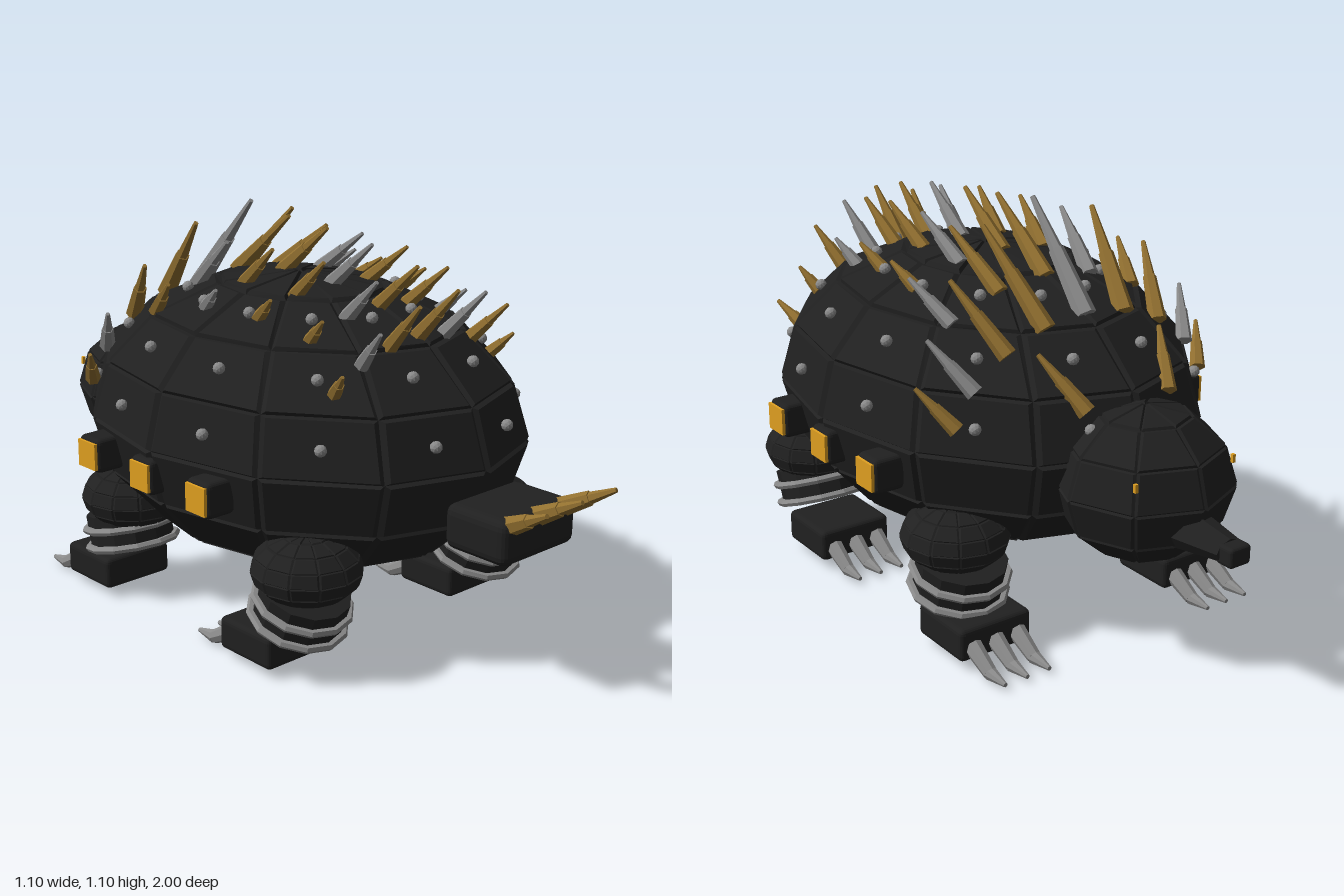
import * as THREE from 'three';
import { RoundedBoxGeometry } from 'three/addons/geometries/RoundedBoxGeometry.js';

const V = (x, y, z) => new THREE.Vector3(x, y, z);

function makeMaterial(name, color) {
  const m = new THREE.MeshStandardMaterial({ color, flatShading: true });
  m.name = name;
  return m;
}

// Ellipsoid of raised armour panels, with a V groove along every seam
function panelledEllipsoid(rx, ry, rz, around, rows, inset, depth) {
  const corner = (i, j) => {
    const a = (i / around) * Math.PI * 2, b = (j / rows) * Math.PI;
    return V(rx * Math.sin(b) * Math.cos(a), ry * Math.cos(b), rz * Math.sin(b) * Math.sin(a));
  };
  const points = [];
  for (let j = 0; j < rows; j++) {
    for (let i = 0; i < around; i++) {
      const face = [corner(i, j)];
      if (j > 0) face.push(corner(i + 1, j));
      face.push(corner(i + 1, j + 1));
      if (j < rows - 1) face.push(corner(i, j + 1));
      const mid = face.reduce((s, p) => s.add(p), V(0, 0, 0)).divideScalar(face.length);
      const outer = face.map((p) => p.clone().add(mid.clone().sub(p).setLength(inset)));
      const inner = face.map((p) => p.clone().setLength(p.length() - depth));
      for (let k = 1; k < face.length - 1; k++) points.push(outer[0], outer[k], outer[k + 1]);
      for (let k = 0; k < face.length; k++) {
        const n = (k + 1) % face.length;
        points.push(inner[k], inner[n], outer[n], inner[k], outer[n], outer[k]);
      }
    }
  }
  const geometry = new THREE.BufferGeometry().setFromPoints(points);
  geometry.computeVertexNormals();
  return geometry;
}

export function createModel() {
  const model = new THREE.Group();
  model.name = 'armouredSpinyAnimal';
  const black = makeMaterial('blackArmour', 0x202020);
  const steel = makeMaterial('steel', 0x8a8a8a);
  const brass = makeMaterial('brass', 0x927030);
  const amber = makeMaterial('amberLight', 0xe0a020);

  function add(name, geometry, material, position, parent = model) {
    const mesh = new THREE.Mesh(geometry, material);
    mesh.name = name;
    mesh.position.copy(position);
    parent.add(mesh);
    return mesh;
  }
  const box = (w, h, d, r = 0.015) => new RoundedBoxGeometry(w, h, d, 2, r);

  // Tapered rod between two points
  function rod(name, from, to, r0, r1, material, parent = model, sides = 8) {
    const dir = to.clone().sub(from);
    const mesh = add(name, new THREE.CylinderGeometry(r1, r0, dir.length(), sides), material,
      from.clone().lerp(to, 0.5), parent);
    mesh.quaternion.setFromUnitVectors(V(0, 1, 0), dir.normalize());
    return mesh;
  }

  // Two-stage spike: stout base and narrower blunt point
  function spike(from, to, r, material) {
    const group = new THREE.Group();
    group.name = 'spike';
    model.add(group);
    const mid = from.clone().lerp(to, 0.55);
    rod('spikeBase', from, mid, r, r * 0.72, material, group, 6);
    rod('spikePoint', mid, to, r * 0.6, r * 0.25, material, group, 6);
  }

  // Body shell, head and snout
  const body = { x: 0.535, y: 0.402, z: 0.685, cy: 0.54, cz: 0.028 };
  add('bodyShell', panelledEllipsoid(body.x, body.y, body.z, 12, 8, 0.016, 0.012), black, V(0, body.cy, body.cz));
  add('head', panelledEllipsoid(0.238, 0.204, 0.232, 8, 6, 0.01, 0.007), black, V(0, 0.475, -0.645));
  rod('snout', V(0, 0.405, -0.76), V(0, 0.405, -0.96), 0.08, 0.042, black).scale.z = 0.7;
  add('nose', box(0.066, 0.052, 0.055, 0.01), black, V(0, 0.403, -0.972));

  // Tail block with three spikes
  add('tail', box(0.27, 0.118, 0.2, 0.026), black, V(0, 0.428, 0.785));
  for (const s of [-1, 0, 1]) spike(V(s * 0.095, 0.465, 0.86), V(s * 0.13, 0.54, 1), 0.026, brass);

  // Rivets in rings, one at the middle of each facet
  const rivet = new THREE.IcosahedronGeometry(0.016, 1);
  for (const y of [0.62, 0.77, 0.88]) {
    const ring = Math.sqrt(1 - ((y - body.cy) / body.y) ** 2) * 0.965;
    for (let k = 0; k < 12; k++) {
      const a = ((k + 0.5) * Math.PI) / 6;
      add('rivet', rivet, steel, V(body.x * ring * Math.cos(a), y, body.cz + body.z * ring * Math.sin(a)));
    }
  }

  // Back spikes: rows from the head to the tail, lengths from the middle outwards
  const spikeRows = [
    { z: -0.39, lean: 0.87, x: [0, 0.13, 0.25, 0.35, 0.405], len: [0.32, 0.285, 0.21, 0.15, 0.12] },
    { z: -0.22, lean: 1.2, x: [0, 0.15, 0.3], len: [0.255, 0.2, 0.14] },
    { z: -0.03, lean: 1.25, x: [0, 0.14, 0.28], len: [0.2, 0.16, 0.08] },
    { z: 0.16, lean: 1.2, x: [0, 0.13, 0.26], len: [0.175, 0.15, 0.08] },
    { z: 0.33, lean: 1.1, x: [0, 0.11, 0.24], len: [0.17, 0.15, 0.08] },
    { z: 0.47, lean: 0.95, x: [0, 0.1, 0.2, 0.29], len: [0.18, 0.16, 0.13, 0.065] },
  ];
  spikeRows.forEach((row, r) => {
    row.x.forEach((x, c) => {
      for (const s of c ? [-1, 1] : [1]) {
        const y = body.cy + body.y * Math.sqrt(1 - (x / body.x) ** 2 - ((row.z - body.cz) / body.z) ** 2);
        const dir = V(1.65 * x * s, 1, row.lean).normalize();
        const base = V(x * s, y, row.z);
        const material = (s * c + r + 6) % 3 === 0 ? steel : brass;
        spike(base.clone().addScaledVector(dir, -0.025), base.clone().addScaledVector(dir, row.len[c]),
          0.017 + row.len[c] * 0.037, material);
      }
    });
  });

  for (const s of [-1, 1]) {
    // Shoulder spikes and eyes
    spike(V(s * 0.13, 0.66, -0.58), V(s * 0.195, 0.79, -0.465), 0.024, brass);
    add('eye', new THREE.BoxGeometry(0.009, 0.022, 0.009), amber, V(s * 0.156, 0.545, -0.797));

    // Side lamps
    for (const z of [-0.22, 0.01, 0.24]) {
      add('lampHousing', box(0.09, 0.095, 0.088), black, V(s * 0.5, 0.475, z));
      add('lampPlate', new THREE.BoxGeometry(0.009, 0.074, 0.074), amber, V(s * 0.547, 0.475, z));
    }

    // Legs: joint, tilted shank with two rings, foot and claws
    for (const leg of [
      { name: 'frontLeg', ball: -0.31, shank: -0.325, tilt: -0.23, foot: -0.393 },
      { name: 'rearLeg', ball: 0.415, shank: 0.39, tilt: 0.36, foot: 0.295 },
    ]) {
      const group = new THREE.Group();
      group.name = leg.name;
      group.position.x = s * 0.336;
      model.add(group);
      add('legJoint', panelledEllipsoid(0.147, 0.092, 0.147, 12, 8, 0.006, 0.004), black, V(0, 0.288, leg.ball), group);
      const shank = new THREE.Group();
      shank.name = 'shank';
      shank.position.set(0, 0.17, leg.shank);
      shank.rotation.x = leg.tilt;
      group.add(shank);
      add('shankCore', new THREE.CylinderGeometry(0.12, 0.118, 0.1, 12), black, V(0, 0.016, 0), shank);
      for (const y of [-0.026, 0.026]) {
        const ring = add('shankRing', new THREE.TorusGeometry(0.126, 0.011, 6, 12), steel, V(0, y, 0), shank);
        ring.rotation.x = Math.PI / 2;
      }
      add('foot', box(0.218, 0.09, 0.197), black, V(0, 0.071, leg.foot), group);
      for (const x of [-0.068, 0, 0.068]) {
        const z = leg.foot - 0.09;
        const knuckle = V(x, 0.021, z - 0.075);
        rod('clawBase', V(x, 0.062, z), knuckle, 0.025, 0.019, steel, group);
        rod('clawTip', knuckle, V(x, 0.018, z - 0.14), 0.019, 0.006, steel, group);
      }
    }
  }
  return model;
}
